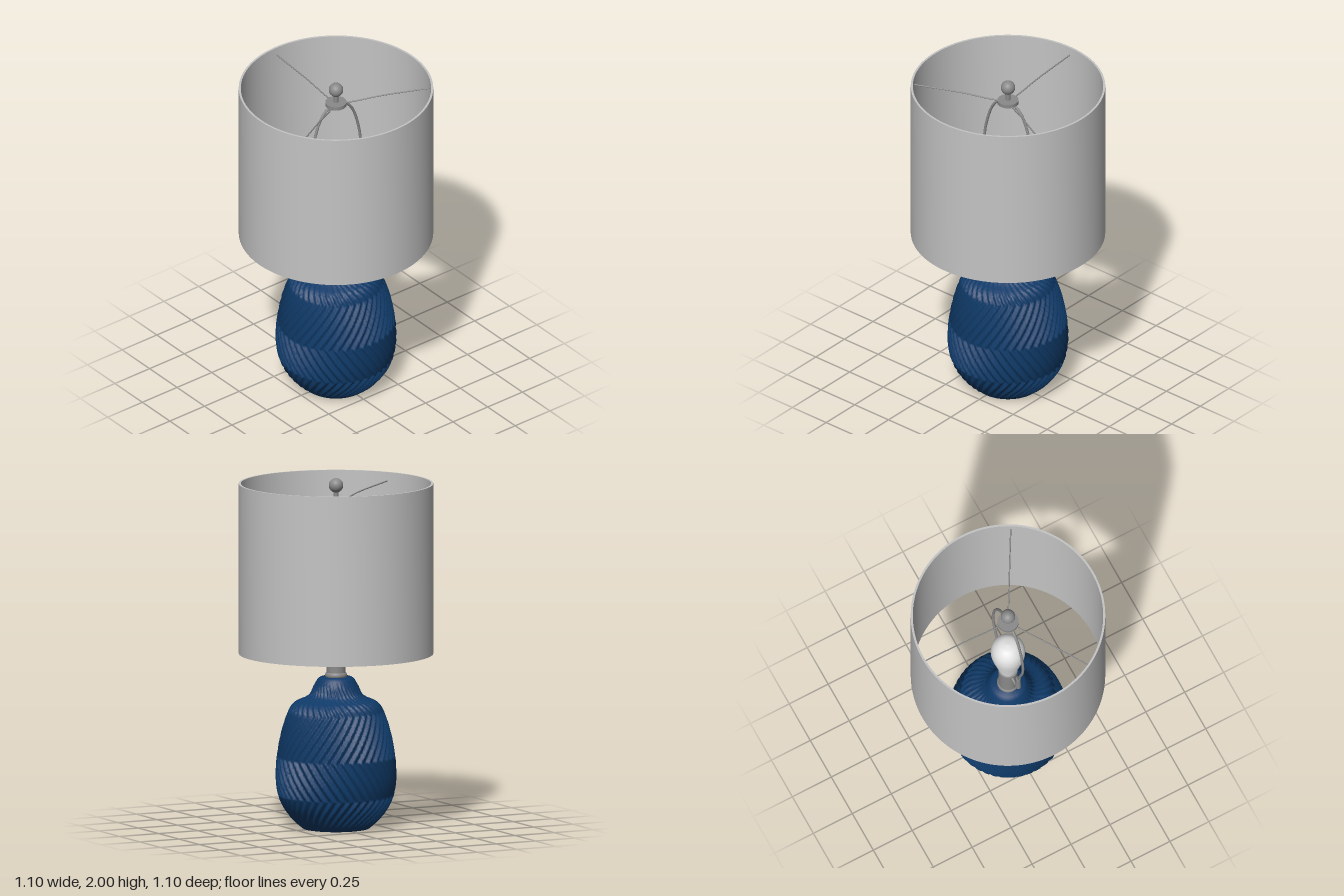
import * as THREE from 'three';
import { toCreasedNormals } from 'three/addons/utils/BufferGeometryUtils.js';

const ceramic = new THREE.MeshStandardMaterial({ color: 0x0f3a68 });
ceramic.name = 'navy ceramic';
const fabric = new THREE.MeshStandardMaterial({ color: 0xc4c4c4 });
fabric.name = 'grey shade fabric';
const metal = new THREE.MeshStandardMaterial({ color: 0x8a8a8a });
metal.name = 'brushed metal';
const glass = new THREE.MeshStandardMaterial({ color: 0xe2e2e2 });
glass.name = 'frosted bulb glass';

const v2 = ([x, y]) => new THREE.Vector2(x, y);
const v3 = ([x, y, z]) => new THREE.Vector3(x, y, z);

function add(parent, name, geometry, material, x = 0, y = 0, z = 0) {
  const mesh = new THREE.Mesh(geometry, material);
  mesh.name = name;
  mesh.position.set(x, y, z);
  parent.add(mesh);
  return mesh;
}

function wire(points, radius, segments = 40) {
  return new THREE.TubeGeometry(new THREE.CatmullRomCurve3(points.map(v3)), segments, radius, 10);
}

// Jar with slanted ridges that change direction from band to band
function bodyGeometry() {
  const ridges = 40, rows = 110, twistPerLength = 2;
  const outline = new THREE.SplineCurve([
    [0.19, 0.005], [0.25, 0.065], [0.305, 0.15], [0.332, 0.26], [0.33, 0.39], [0.306, 0.54],
    [0.265, 0.67], [0.23, 0.72], [0.175, 0.747], [0.145, 0.77], [0.125, 0.815], [0.104, 0.855],
  ].map(v2));
  const side = outline.getSpacedPoints(rows);
  const profile = [v2([0, 0.005]), ...side, v2([0.09, 0.866]), v2([0, 0.866])];

  // Angle of the ridges at each row: a zigzag along the outline
  const twist = [0];
  for (let j = 1; j < profile.length; j++) {
    const y = profile[j].y;
    const direction = y < 0.2 || (y > 0.42 && y < 0.67) ? 1 : -1;
    twist.push(twist[j - 1] + direction * twistPerLength * profile[j].distanceTo(profile[j - 1]));
  }

  const geometry = new THREE.LatheGeometry(profile, 320);
  const p = geometry.attributes.position;
  for (let i = 0; i < p.count; i++) {
    const j = i % profile.length;
    const r = profile[j].x;
    const fade = Math.max(0, Math.min(1, (j - 1) / 6, (rows + 1 - j) / 8));
    const angle = Math.floor(i / profile.length) / 320 * Math.PI * 2;
    const out = r + 0.024 * r * fade * Math.sin(ridges * (angle - twist[j]));
    p.setX(i, out * Math.sin(angle));
    p.setZ(i, out * Math.cos(angle));
  }
  geometry.deleteAttribute('uv');
  geometry.deleteAttribute('normal');
  return toCreasedNormals(geometry, 0.9);
}

// Open drum with a thin wall
function shadeGeometry() {
  const ring = new THREE.Shape().absarc(0, 0, 0.55, 0, Math.PI * 2);
  ring.holes.push(new THREE.Path().absarc(0, 0, 0.538, 0, Math.PI * 2, true));
  const geometry = new THREE.ExtrudeGeometry(ring, { depth: 0.97, bevelEnabled: false, curveSegments: 64 });
  geometry.rotateX(-Math.PI / 2);
  return toCreasedNormals(geometry, 0.6);
}

export function createModel() {
  const lamp = new THREE.Group();
  lamp.name = 'tableLamp';

  add(lamp, 'ridgedBody', bodyGeometry(), ceramic);
  add(lamp, 'drumShade', shadeGeometry(), fabric, 0, 1, 0);

  // Socket and the collar beneath it
  add(lamp, 'socket', new THREE.CylinderGeometry(0.055, 0.055, 0.22, 40), metal, 0, 0.975, 0);
  const collar = [[0.055, 0.862], [0.06, 0.866], [0.063, 0.876], [0.06, 0.887], [0.054, 0.893]];
  add(lamp, 'collar', new THREE.LatheGeometry(collar.map(v2), 40), metal);

  // Bulb widening into a dome
  const bulb = new THREE.SplineCurve([
    [0.045, 1.08], [0.055, 1.12], [0.074, 1.22], [0.091, 1.31], [0.098, 1.38],
    [0.087, 1.44], [0.052, 1.482], [0, 1.495],
  ].map(v2));
  add(lamp, 'bulb', new THREE.LatheGeometry(bulb.getPoints(40), 40), glass);

  // Harp: a mirrored wire arm with a ferrule on each side
  const harp = new THREE.Group();
  harp.name = 'harp';
  lamp.add(harp);
  for (const s of [-1, 1]) {
    const arm = [
      [0.04, 1.07], [0.085, 1.058], [0.115, 1.075], [0.122, 1.12], [0.122, 1.22], [0.145, 1.32],
      [0.174, 1.45], [0.174, 1.58], [0.15, 1.7], [0.11, 1.8], [0.06, 1.85], [0, 1.862],
    ].map(([x, y]) => [s * x, y, 0]);
    add(harp, 'harpArm', wire(arm, 0.008, 70), metal);
    add(harp, 'ferrule', new THREE.CylinderGeometry(0.013, 0.016, 0.13, 20), metal, s * 0.122, 1.16, 0);
  }

  // Hub, three spokes to the shade and the finial
  const spider = new THREE.Group();
  spider.name = 'shadeFitter';
  lamp.add(spider);
  add(spider, 'hub', new THREE.CylinderGeometry(0.06, 0.06, 0.022, 40), metal, 0, 1.868, 0);
  for (let i = 0; i < 3; i++) {
    const spoke = wire([[0, 1.868, -0.05], [0, 1.875, -0.12], [0, 1.895, -0.25], [0, 1.92, -0.541]]
      .map(([x, y, z]) => [x, y, z]), 0.004);
    add(spider, 'spoke', spoke, metal).rotation.y = i * Math.PI * 2 / 3;
  }
  add(spider, 'finialStem', new THREE.CylinderGeometry(0.014, 0.014, 0.07, 20), metal, 0, 1.905, 0);
  add(spider, 'finialBall', new THREE.SphereGeometry(0.041, 32, 20), metal, 0, 1.959, 0);

  return lamp;
}
